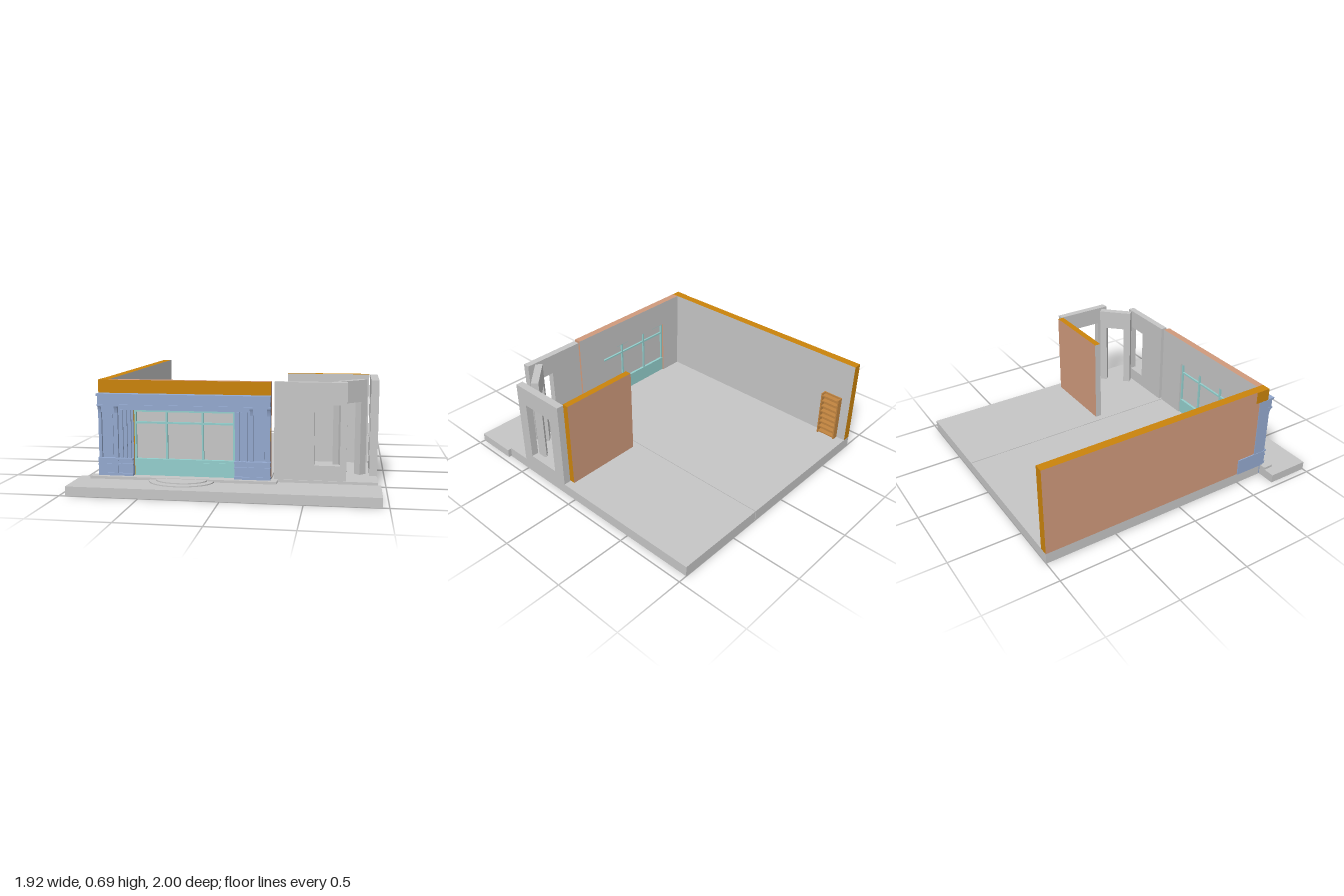
import * as THREE from 'three';

const mat = (name, color) => {
  const m = new THREE.MeshStandardMaterial({ color });
  m.name = name;
  return m;
};

export function createModel() {
  const root = new THREE.Group();
  root.name = 'cornerShop';
  const gray = mat('plasterGray', 0xc6c6c6);
  const orange = mat('wallOrange', 0xca830c);
  const brick = mat('brickBrown', 0xd09a7c);
  const blue = mat('shopfrontBlue', 0x94a9cf);
  const teal = mat('windowTeal', 0x94cfcd);
  const wood = mat('shelfWood', 0xc28540);

  // Box given by its extents; material may be a list: +x -x +y -y +z -z
  const box = (name, m, x0, x1, y0, y1, z0, z1, parent = root) => {
    const mesh = new THREE.Mesh(new THREE.BoxGeometry(x1 - x0, y1 - y0, z1 - z0), m);
    mesh.position.set((x0 + x1) / 2, (y0 + y1) / 2, (z0 + z1) / 2);
    mesh.name = name;
    parent.add(mesh);
    return mesh;
  };
  const group = (name) => {
    const g = new THREE.Group();
    g.name = name;
    root.add(g);
    return g;
  };
  const rect = (C, x0, x1, y0, y1) => {
    const s = new C();
    s.moveTo(x0, y0);
    s.lineTo(x1, y0);
    s.lineTo(x1, y1);
    s.lineTo(x0, y1);
    s.closePath();
    return s;
  };
  // Wall panel along x with one opening, extruded towards +z
  const panel = (name, w, y0, y1, hole, depth) => {
    const s = rect(THREE.Shape, 0, w, y0, y1);
    s.holes.push(rect(THREE.Path, ...hole));
    const mesh = new THREE.Mesh(
      new THREE.ExtrudeGeometry(s, { depth, bevelEnabled: false }), gray);
    mesh.name = name;
    root.add(mesh);
    return mesh;
  };

  const F = 0.075, T = 0.69; // floor level and wall top

  // Floors, pavement and steps
  box('shopFloor', gray, -0.83, 0.275, 0, F, -1, 0.695);
  box('sideFloor', gray, 0.28, 0.94, 0, F, -1, 0.695);
  box('pavement', gray, -0.96, 0.96, 0, 0.06, 0.703, 1);
  box('shopfrontFooting', blue, -0.83, 0.275, 0.004, F, 0.695, 0.703);
  box('entranceStep', gray, -0.88, 0.32, 0.06, 0.077, 0.70, 0.77);
  const roundStep = (name, rx, rz, top) => {
    const s = new THREE.Shape();
    s.moveTo(rx, 0);
    s.absellipse(0, 0, rx, rz, 0, Math.PI, false);
    s.closePath();
    const g = new THREE.ExtrudeGeometry(s, { depth: top - 0.06, bevelEnabled: false, curveSegments: 24 });
    const mesh = new THREE.Mesh(g, gray);
    mesh.rotation.x = Math.PI / 2;
    mesh.position.set(-0.28, top, 0.77);
    mesh.name = name;
    root.add(mesh);
  };
  roundStep('lowerRoundStep', 0.207, 0.155, 0.067);
  roundStep('upperRoundStep', 0.163, 0.105, 0.074);

  // Long side wall and partition wall
  box('sideWall', [gray, brick, orange, gray, orange, orange], -0.83, -0.77, F, T, -1, 0.7);
  box('sideWallCorner', orange, -0.834, -0.83, 0.605, T, 0.6, 0.7);
  box('partitionWall', [orange, gray, orange, gray, gray, brick], 0.33, 0.885, F, T, 0.065, 0.11);

  // Shop front wall around the window opening
  const frontMats = [brick, gray, brick, gray, orange, gray];
  box('frontWallLeft', frontMats, -0.77, -0.6, F, 0.5, 0.65, 0.7);
  box('frontWallRight', frontMats, 0.05, 0.275, F, 0.5, 0.65, 0.7);
  box('frontWallTop', frontMats, -0.77, 0.275, 0.5, T, 0.65, 0.7);

  // Gray corner room: window walls and diagonal doorway
  panel('cornerFrontWall', 0.45, F, T, [0.25, 0.41, 0.17, 0.55], 0.047).position.set(0.295, 0, 0.64);
  const right = panel('cornerRightWall', 0.415, F, T, [0.08, 0.325, 0.14, 0.56], 0.05);
  right.rotation.y = Math.PI / 2;
  right.position.set(0.89, 0, 0.515);
  const door = group('doorway');
  box('doorLintel', gray, 0, 0.247, 0.55, T, 0, 0.05, door);
  box('doorJambLeft', gray, 0, 0.053, F, 0.55, 0, 0.05, door);
  box('doorJambRight', gray, 0.194, 0.247, F, 0.55, 0, 0.05, door);
  door.rotation.y = Math.PI / 4;
  door.position.set(0.657, 0, 0.595);

  // Display window
  const win = group('displayWindow');
  box('glass', gray, -0.6, 0.05, 0.18, 0.5, 0.678, 0.684, win);
  box('stallRiser', teal, -0.6, 0.05, F, 0.18, 0.66, 0.704, win);
  box('riserPanel', teal, -0.15, 0.03, 0.09, 0.168, 0.704, 0.71, win);
  box('sill', teal, -0.6, 0.05, 0.176, 0.186, 0.66, 0.71, win);
  box('headRail', teal, -0.6, 0.05, 0.488, 0.5, 0.665, 0.7, win);
  box('transom', teal, -0.6, 0.05, 0.413, 0.425, 0.665, 0.7, win);
  for (const x of [-0.594, -0.39, -0.157, 0.044])
    box('mullion', teal, x - 0.006, x + 0.006, 0.18, 0.5, 0.665, 0.7, win);

  // Blue shopfront: fascia with cornice
  const shop = group('shopfront');
  box('header', blue, -0.83, 0.275, 0.5, 0.605, 0.7, 0.712, shop);
  box('fascia', blue, -0.83, 0.275, 0.53, 0.595, 0.712, 0.742, shop);
  box('cornice', blue, -0.832, 0.277, 0.592, 0.606, 0.7, 0.757, shop);
  box('fasciaMoulding', blue, -0.832, 0.277, 0.525, 0.537, 0.7, 0.75, shop);

  // Scroll bracket with a hollow curve under the fascia
  const bracket = (x0, x1) => {
    const s = new THREE.Shape();
    s.moveTo(0, 0.44);
    s.lineTo(-0.024, 0.44);
    s.quadraticCurveTo(-0.027, 0.5, -0.042, 0.525);
    s.lineTo(0, 0.525);
    s.closePath();
    const g = new THREE.ExtrudeGeometry(s, { depth: x1 - x0, bevelEnabled: false, curveSegments: 6 });
    const mesh = new THREE.Mesh(g, blue);
    mesh.rotation.y = Math.PI / 2;
    mesh.position.set(x0, 0, 0.7);
    mesh.name = 'bracket';
    shop.add(mesh);
  };

  // Mirrored pilasters, each beside a narrow fluted strip
  const cx = -0.2775;
  for (const s of [-1, 1]) {
    const part = (name, a, b, y0, y1, z1) => {
      const p = cx + s * a, q = cx + s * b;
      box(name, blue, Math.min(p, q), Math.max(p, q), y0, y1, 0.7, z1, shop);
    };
    part('backing', 0.327, 0.552, F, 0.53, 0.71);
    part('pilasterEdge', 0.532, 0.552, 0.19, 0.53, 0.728);
    part('pilasterEdge', 0.425, 0.445, 0.19, 0.53, 0.728);
    part('pilasterTop', 0.425, 0.552, 0.485, 0.53, 0.728);
    part('pilasterPanel', 0.46, 0.517, 0.205, 0.47, 0.716);
    for (const a of [0.34, 0.367, 0.394]) part('flute', a, a + 0.016, 0.19, 0.5, 0.722);
    part('plinth', 0.425, 0.552, F, 0.19, 0.735);
    part('innerPlinth', 0.327, 0.425, F, 0.19, 0.727);
    part('plinthFoot', 0.327, 0.554, F, 0.093, 0.741);
    part('plinthMoulding', 0.327, 0.554, 0.143, 0.155, 0.74);
    part('plinthCap', 0.327, 0.554, 0.178, 0.19, 0.742);
    const e = [cx + s * 0.425, cx + s * 0.445].sort((p, q) => p - q);
    bracket(...e);
    const o = [cx + s * 0.532, cx + s * 0.552].sort((p, q) => p - q);
    bracket(...o);
  }
  // Plinth and pilaster return on the side wall
  box('plinthReturn', blue, -0.838, -0.83, F, 0.19, 0.49, 0.72, shop);
  box('pilasterReturn', blue, -0.835, -0.83, 0.19, 0.605, 0.63, 0.71, shop);

  // Open bookcase against the side wall
  const shelf = group('bookcase');
  const [b0, b1, z0, z1] = [0.085, 0.42, -0.942, -0.8];
  box('bookcaseBack', wood, -0.757, -0.75, b0, b1, z0, z1, shelf);
  box('bookcaseSide', wood, -0.757, -0.713, b0, b1, z0, z0 + 0.009, shelf);
  box('bookcaseSide', wood, -0.757, -0.713, b0, b1, z1 - 0.009, z1, shelf);
  for (let i = 0; i < 8; i++) {
    const y = b0 + 0.008 + i * 0.0435;
    box('shelf', wood, -0.75, -0.716, y, y + 0.009, z0 + 0.009, z1 - 0.009, shelf);
  }
  return root;
}
